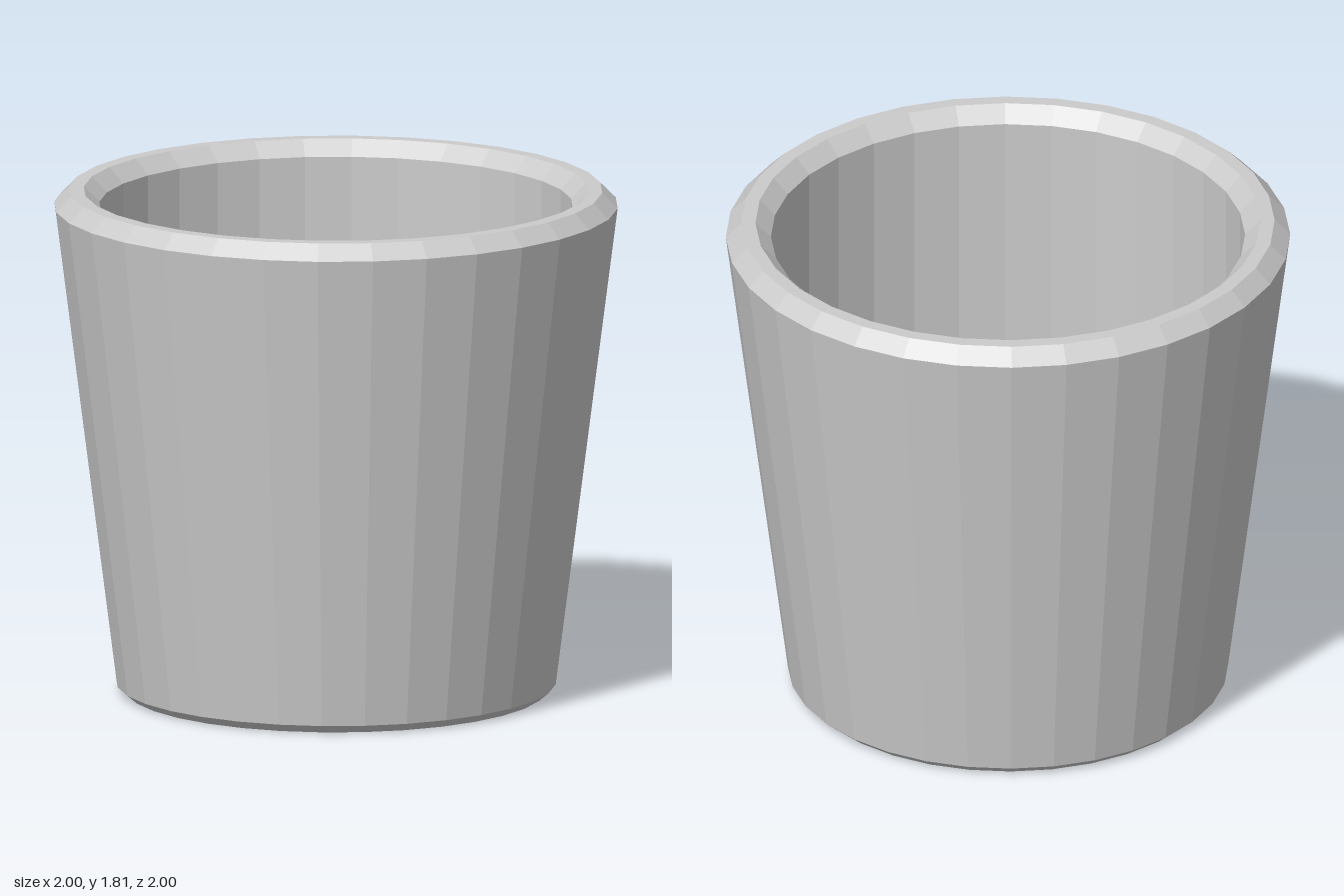
import * as THREE from 'three';

const SIDES = 32;

// Turns a list of [radius, height] points into a faceted round part
function turned(name, profile, material) {
  const points = profile.map(([r, y]) => new THREE.Vector2(r, y));
  const mesh = new THREE.Mesh(new THREE.LatheGeometry(points, SIDES), material);
  mesh.name = name;
  return mesh;
}

export function createModel() {
  const group = new THREE.Group();
  group.name = 'plantPot';
  const grey = new THREE.MeshStandardMaterial({ color: 0xcccccc, flatShading: true });

  const wallTop = 1.755;
  const floor = 0.75;

  // Flat underside with a small chamfer
  group.add(turned('base', [[0, 0], [0.745, 0], [0.78, 0.03]], grey));
  // Tapered outer wall
  group.add(turned('outerWall', [[0.78, 0.03], [1, wallTop]], grey));
  // Rim, chamfered on both sides
  group.add(turned('rim', [[1, wallTop], [0.945, 1.81], [0.895, 1.81], [0.84, wallTop]], grey));
  // Straight inner wall and the raised floor inside
  group.add(turned('innerWall', [[0.84, wallTop], [0.84, floor]], grey));
  group.add(turned('innerFloor', [[0.84, floor], [0, floor]], grey));

  return group;
}
